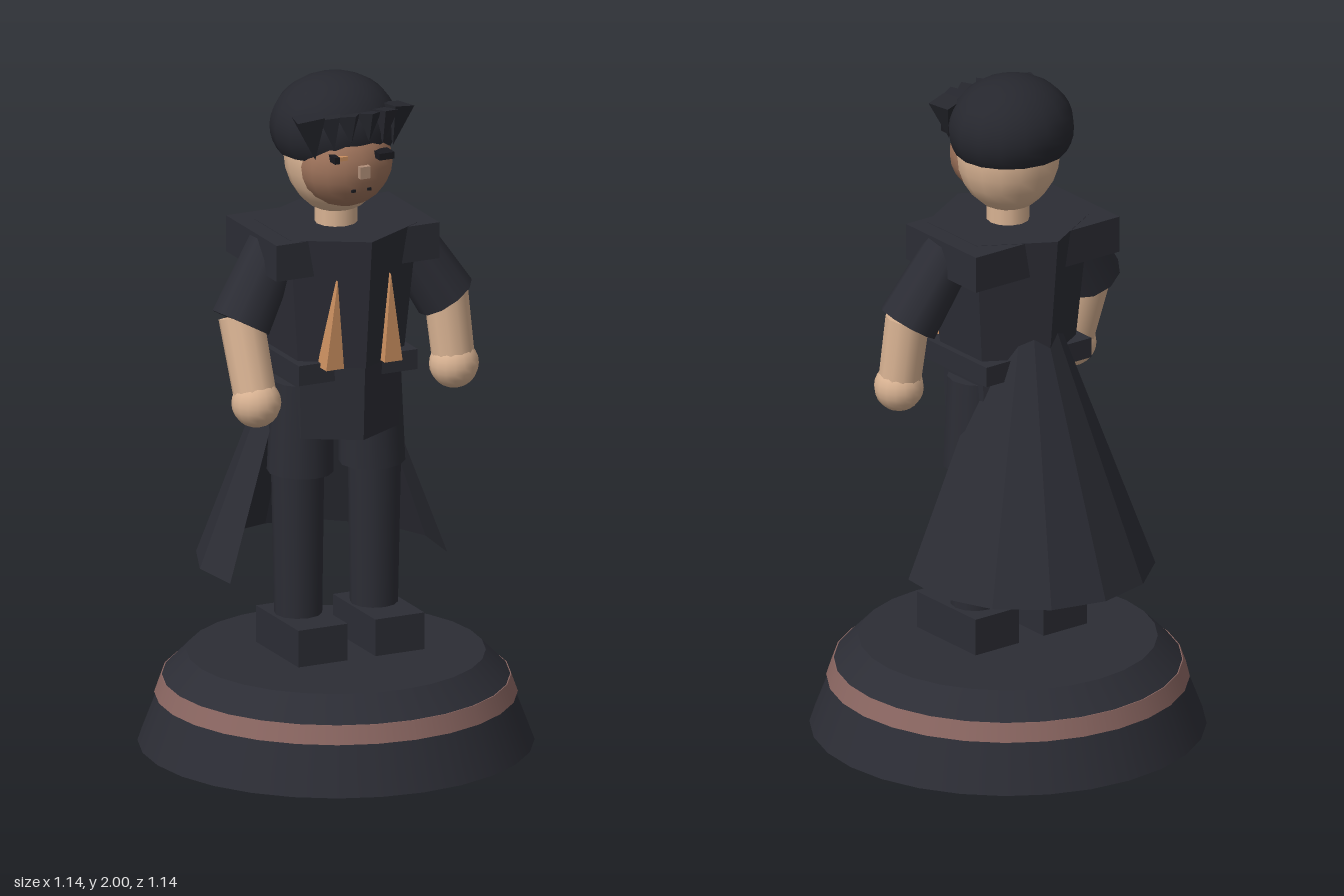
import * as THREE from 'three';

const mat = (name, color, side = THREE.FrontSide) => {
  const m = new THREE.MeshStandardMaterial({ color, side });
  m.name = name;
  return m;
};

export function createModel() {
  const model = new THREE.Group();
  const cloth = mat('dark cloth', 0x2c2d35, THREE.DoubleSide);
  const hairMat = mat('hair', 0x26272e);
  const skin = mat('skin', 0xd9b393);
  const faceMat = mat('face tan', 0x9e735b);
  const orange = mat('lapel orange', 0xcc9060);
  const band = mat('base band', 0x8a6661);
  const black = mat('eye black', 0x1a1a1f);
  const noseMat = mat('nose', 0xb08e78);

  const add = (name, geo, material, x = 0, y = 0, z = 0, parent = model) => {
    const m = new THREE.Mesh(geo, material);
    m.name = name;
    m.position.set(x, y, z);
    parent.add(m);
    return m;
  };
  const flat = (geo) => {
    const g = geo.toNonIndexed();
    g.computeVertexNormals();
    return g;
  };
  const box = (name, w, h, d, material, x, y, z) =>
    add(name, new THREE.BoxGeometry(w, h, d), material, x, y, z);
  // tapered round limb between two points
  const limb = (name, a, b, ra, rb, material, sides = 12) => {
    const A = new THREE.Vector3(...a), B = new THREE.Vector3(...b);
    const dir = A.clone().sub(B);
    const m = add(name, new THREE.CylinderGeometry(ra, rb, dir.length(), sides), material);
    m.position.copy(A).add(B).multiplyScalar(0.5);
    m.quaternion.setFromUnitVectors(new THREE.Vector3(0, 1, 0), dir.normalize());
    return m;
  };
  const ellipsoid = (name, rx, ry, rz, material, x, y, z, cut = Math.PI) =>
    add(name, new THREE.SphereGeometry(1, 16, 12, 0, Math.PI * 2, 0, cut).scale(rx, ry, rz), material, x, y, z);

  // stepped round base
  const baseTier = (name, y0, y1, r0, r1, material) =>
    add(name, new THREE.CylinderGeometry(r1, r0, y1 - y0, 28), material, 0, (y0 + y1) / 2, 0);
  baseTier('baseLower', 0, 0.145, 0.57, 0.515, cloth);
  baseTier('baseBand', 0.145, 0.198, 0.522, 0.503, band);
  baseTier('baseUpper', 0.198, 0.27, 0.5, 0.43, cloth);

  // legs and shoes
  for (const s of [-1, 1]) {
    const side = s > 0 ? 'left' : 'right';
    box(side + 'Shoe', 0.157, 0.11, 0.275, cloth, s * 0.123, 0.345, 0.028);
    limb(side + 'LowerLeg', [s * 0.123, 0.86, 0], [s * 0.121, 0.38, 0], 0.077, 0.069, cloth);
    limb(side + 'Thigh', [s * 0.108, 1.1, 0], [s * 0.115, 0.825, 0], 0.09, 0.096, cloth);
  }

  // six-sided hips and torso, with belt and shoulder yoke
  add('hips', flat(new THREE.CylinderGeometry(0.19, 0.18, 0.23, 6)), cloth, 0, 1.065, 0);
  add('torso', flat(new THREE.CylinderGeometry(0.235, 0.195, 0.39, 6)), cloth, 0, 1.365, 0);
  box('belt', 0.38, 0.06, 0.29, cloth, 0, 1.158, 0);
  box('shoulderYoke', 0.52, 0.108, 0.33, cloth, 0, 1.505, -0.022);

  // tapered lapels
  for (const s of [-1, 1]) {
    const tri = new THREE.Shape([
      new THREE.Vector2(s * 0.065, 1.175),
      new THREE.Vector2(s * 0.122, 1.175),
      new THREE.Vector2(s * 0.085, 1.44),
    ]);
    add('lapel', new THREE.ExtrudeGeometry(tri, { depth: 0.055, bevelEnabled: false }), orange, 0, 0, 0.13);
  }

  // flared cape, open at the front
  const arc = Math.PI * 1.2;
  add('cape', flat(new THREE.CylinderGeometry(0.075, 0.365, 0.78, 8, 1, true, Math.PI - arc / 2, arc)),
    cloth, 0, 0.91, -0.095);

  // arms, each posed slightly differently
  const arms = [
    { n: 'right', shoulder: [-0.195, 1.51, -0.005], elbow: [-0.312, 1.3, 0.015], hand: [-0.298, 1.078, 0.088] },
    { n: 'left', shoulder: [0.2, 1.51, 0.01], elbow: [0.328, 1.3, 0.045], hand: [0.345, 1.103, 0.065] },
  ];
  for (const a of arms) {
    limb(a.n + 'Sleeve', a.shoulder, a.elbow, 0.078, 0.09, cloth, 10);
    limb(a.n + 'Forearm', [a.elbow[0], 1.32, a.elbow[2]], a.hand, 0.065, 0.062, skin);
    ellipsoid(a.n + 'Hand', 0.072, 0.072, 0.072, skin, ...a.hand);
  }

  // neck, head and face
  limb('neck', [0, 1.66, 0], [0, 1.52, 0], 0.062, 0.062, skin);
  ellipsoid('head', 0.152, 0.18, 0.15, skin, 0, 1.77, 0);
  ellipsoid('face', 0.14, 0.13, 0.12, faceMat, 0, 1.755, 0.06);
  box('nose', 0.032, 0.036, 0.03, noseMat, 0, 1.757, 0.178);
  box('leftEye', 0.048, 0.02, 0.05, black, 0.067, 1.799, 0.172);
  box('rightEye', 0.016, 0.02, 0.05, black, -0.082, 1.799, 0.152);
  box('rightEyelid', 0.03, 0.012, 0.04, orange, -0.058, 1.799, 0.147);
  for (const s of [-1, 1]) box('mouthCorner', 0.012, 0.008, 0.01, black, s * 0.025, 1.698, 0.164);

  // hair cap and pointed fringe
  ellipsoid('hairCap', 0.187, 0.152, 0.175, hairMat, 0, 1.848, -0.015, Math.PI * 0.655);
  const fringe = [
    [-0.135, 0.118, 0.058, 0.13], [-0.082, 0.142, 0.042, 0.1], [-0.03, 0.152, 0.04, 0.085],
    [0.03, 0.152, 0.04, 0.085], [0.082, 0.142, 0.042, 0.1], [0.135, 0.11, 0.05, 0.12],
  ];
  for (const [x, z, r, h] of fringe) {
    const spike = add('fringeSpike', flat(new THREE.ConeGeometry(r, h, 4)), hairMat, x, 1.922 - h / 2, z);
    spike.rotation.set(Math.PI - 0.15, x * 4, x * 1.2);
  }
  return model;
}
